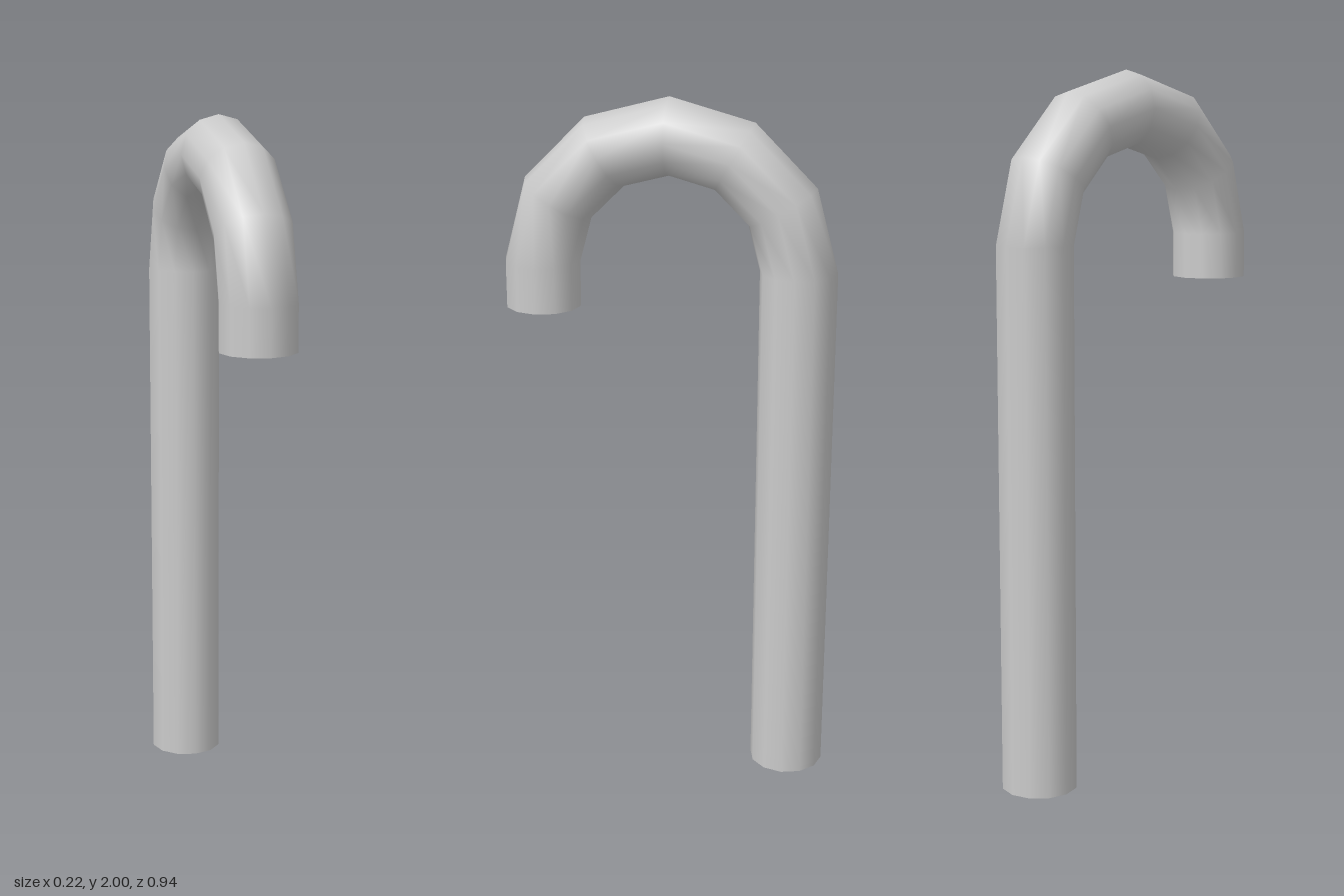
import * as THREE from 'three';

const SIDES = 12;
const TUBE = 0.108;   // tube radius
const BEND = 0.362;   // radius of the arch centre line
const SPRING = 1.53;  // height where the arch begins
const TIP = 1.4;      // height of the hook's free end

export function createModel() {
  const group = new THREE.Group();
  group.name = 'cane';
  const material = new THREE.MeshStandardMaterial({ color: 0xcccccc, side: THREE.DoubleSide });

  const add = (name, geometry, y, z) => {
    const mesh = new THREE.Mesh(geometry, material);
    mesh.name = name;
    mesh.position.set(0, y, z);
    group.add(mesh);
  };
  // Open straight length of tube between two heights
  const straight = (name, y0, y1, z) =>
    add(name, new THREE.CylinderGeometry(TUBE, TUBE, y1 - y0, SIDES, 1, true), (y0 + y1) / 2, z);

  // Long shaft, open at the foot
  straight('shaft', 0, SPRING, -BEND);

  // Half-circle handle in six segments
  add('handleArch', new THREE.TorusGeometry(BEND, TUBE, SIDES, 6, Math.PI).rotateY(Math.PI / 2), SPRING, 0);

  // Short downward end of the hook, closed by a flat cap
  straight('hookEnd', TIP, SPRING, BEND);
  add('hookCap', new THREE.CircleGeometry(TUBE, SIDES).rotateX(Math.PI / 2), TIP, BEND);

  return group;
}
